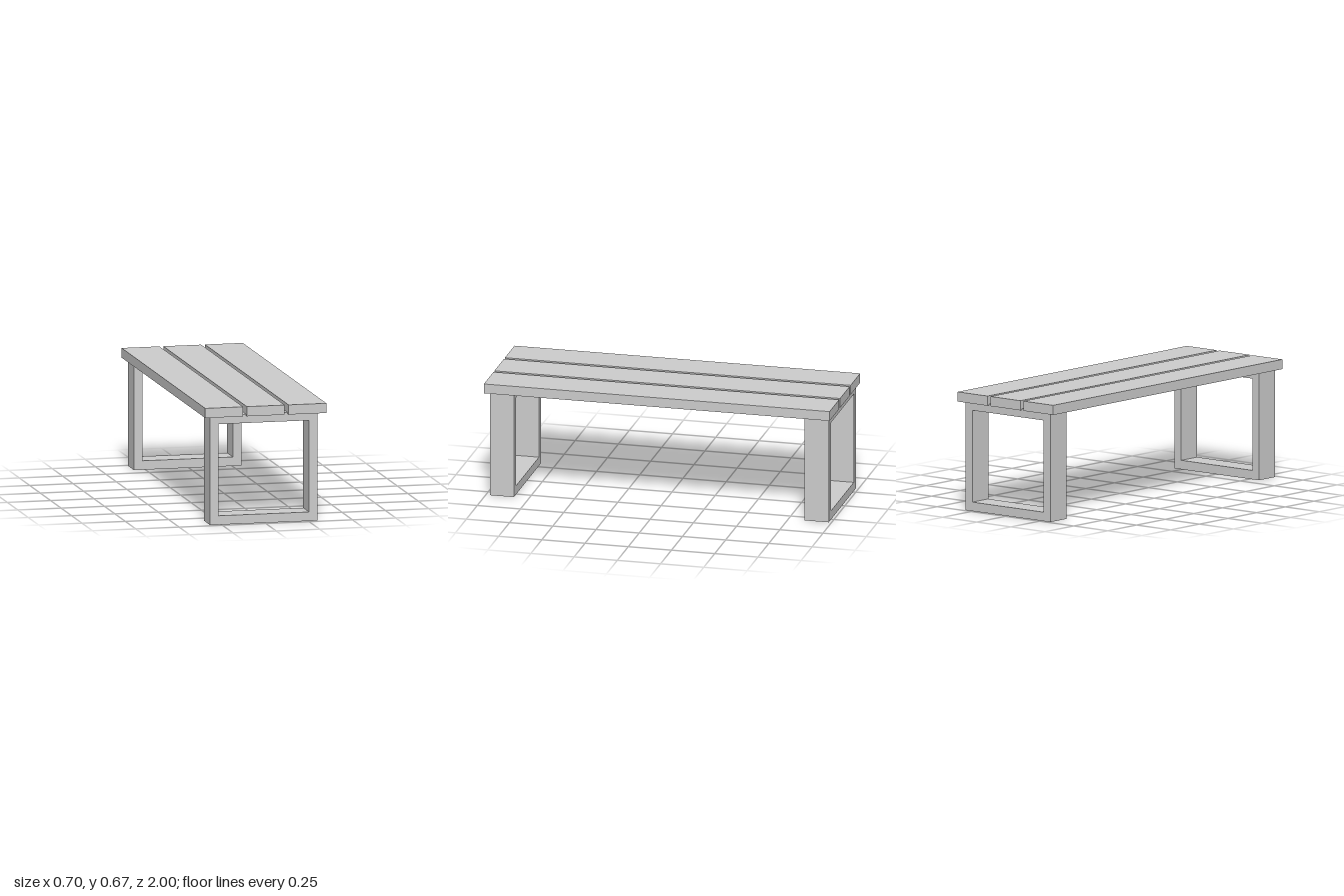
import * as THREE from 'three';

const material = new THREE.MeshStandardMaterial({ color: 0xcccccc, flatShading: true });

// Rectangle outline, usable as a shape or a hole
function rectangle(path, x0, y0, x1, y1) {
  path.moveTo(x0, y0);
  path.lineTo(x1, y0);
  path.lineTo(x1, y1);
  path.lineTo(x0, y1);
  path.closePath();
  return path;
}

export function createModel() {
  const bench = new THREE.Group();
  bench.name = 'bench';

  // Three seat planks running the full length, with narrow gaps between
  const plankGeometry = new THREE.BoxGeometry(0.218, 0.055, 2);
  ['rightPlank', 'middlePlank', 'leftPlank'].forEach((name, i) => {
    const plank = new THREE.Mesh(plankGeometry, material);
    plank.name = name;
    plank.position.set((i - 1) * 0.2405, 0.6425, 0);
    bench.add(plank);
  });

  // Square hollow leg frames, sitting slightly off centre and let into the planks
  const outline = rectangle(new THREE.Shape(), -0.316, 0, 0.305, 0.623);
  outline.holes.push(rectangle(new THREE.Path(), -0.267, 0.051, 0.255, 0.573));
  const frameGeometry = new THREE.ExtrudeGeometry(outline, { depth: 0.14, bevelEnabled: false });
  for (const [name, z] of [['frontLegFrame', 0.837], ['backLegFrame', -0.984]]) {
    const frame = new THREE.Mesh(frameGeometry, material);
    frame.name = name;
    frame.position.z = z;
    bench.add(frame);
  }

  return bench;
}
